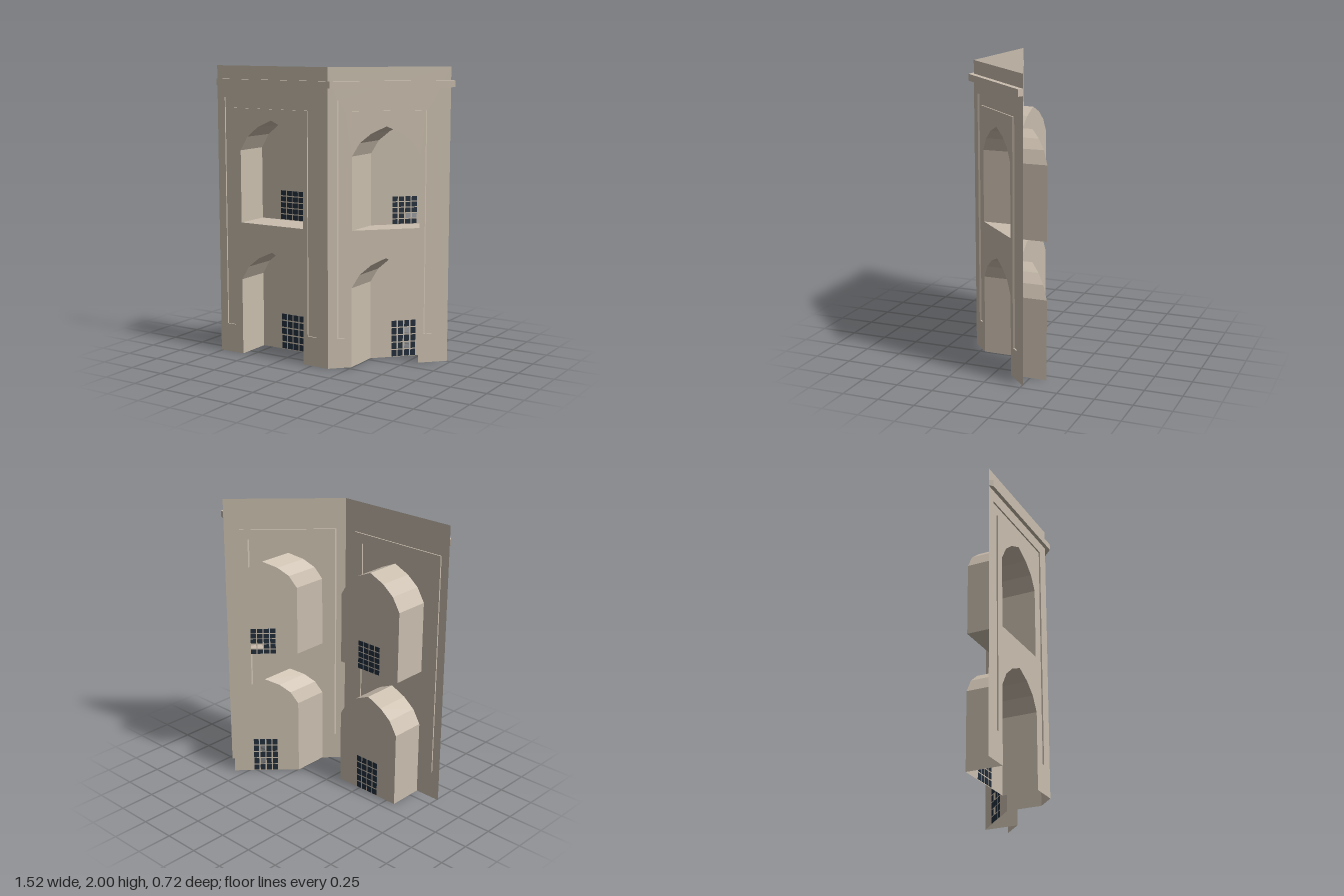
import * as THREE from 'three';

const stone = new THREE.MeshStandardMaterial({ color: 0xc9bdad, side: THREE.DoubleSide });
stone.name = 'sandstone';
const glass = new THREE.MeshStandardMaterial({ color: 0x222e3b });
glass.name = 'darkGlass';

// Each facade is drawn in x, y and then laid onto its own wall plane z = plane(x).
const facades = [
  {
    name: 'frontFacade', plane: () => 0.33, x0: -0.76, x1: 0.13,
    groove: { outer: [-0.7, 0.04], inner: [-0.63, -0.03], depth: 0.01 },
    arch: { cx: -0.317, half: 0.2535, rise: 0.212 },
    niches: [{ floor: 0, spring: 0.531, open: true }, { floor: 0.93, spring: 1.428 }],
    windows: [
      { x: -0.415, w: 0.195, y: 0, h: 0.26, gap: 0.01, missing: [] },
      { x: -0.415, w: 0.195, y: 0.93, h: 0.21, gap: 0.008, missing: [] },
    ],
  },
  {
    name: 'angledFacade', plane: (x) => 0.46 - x, x0: 0.13, x1: 0.72,
    groove: { outer: [0.175, 0.64], inner: [0.21, 0.6], depth: 0.014 },
    arch: { cx: 0.41, half: 0.165, rise: 0.192 },
    niches: [{ floor: 0, spring: 0.543, open: true }, { floor: 0.93, spring: 1.421 }],
    windows: [
      { x: 0.349, w: 0.128, y: 0, h: 0.26, gap: 0.008, missing: ['2,1', '2,3'] },
      { x: 0.349, w: 0.128, y: 0.93, h: 0.195, gap: 0.007, missing: ['2,1', '3,1'] },
    ],
  },
];
const NICHE_DEPTH = 0.25;

const vec = (pts) => pts.map(([x, y]) => new THREE.Vector2(x, y));
const rect = (x, y, w, h) => [[x, y], [x + w, y], [x + w, y + h], [x, y + h]];

// Pointed arch outline, from the lower left corner over the peak to the lower right
function archOutline({ cx, half, rise }, { floor, spring }) {
  const left = [[1, 0], [0.773, 0.45], [0.44, 0.765]];
  const right = left.map(([u, v]) => [-u, v]).reverse();
  const top = [...left, [0, 1], ...right].map(([u, v]) => [cx - u * half, spring + v * rise]);
  return [[cx - half, floor], ...top, [cx + half, floor]];
}

// Inverted U outline of the groove that frames the niches
function grooveOutline({ outer: [a, d], inner: [b, c] }) {
  return [[a, 0.2], [a, 1.785], [d, 1.785], [d, 0.2], [c, 0.2], [c, 1.715], [b, 1.715], [b, 0.2]];
}

function sheet(outline, holes = [], z = 0) {
  const shape = new THREE.Shape(vec(outline));
  holes.forEach((h) => shape.holes.push(new THREE.Path(vec(h))));
  return new THREE.ShapeGeometry(shape).translate(0, 0, z);
}

// Band running along an outline, reaching back from z = 0 by the given depth
function band(outline, depth, closed) {
  const pos = [];
  const n = closed ? outline.length : outline.length - 1;
  for (let i = 0; i < n; i++) {
    const [ax, ay] = outline[i];
    const [bx, by] = outline[(i + 1) % outline.length];
    pos.push(ax, ay, 0, ax, ay, -depth, bx, by, -depth);
    pos.push(ax, ay, 0, bx, by, -depth, bx, by, 0);
  }
  const geo = new THREE.BufferGeometry();
  geo.setAttribute('position', new THREE.Float32BufferAttribute(pos, 3));
  return geo;
}

function buildFacade(f) {
  const group = new THREE.Group();
  group.name = f.name;
  const add = (name, source, material = stone) => {
    const geo = source.index ? source.toNonIndexed() : source;
    const p = geo.attributes.position;
    for (let i = 0; i < p.count; i++) p.setZ(i, p.getZ(i) + f.plane(p.getX(i)));
    geo.computeVertexNormals();
    const mesh = new THREE.Mesh(geo, material);
    mesh.name = name;
    group.add(mesh);
  };

  // Wall with the doorway notch, upper niche opening and groove cut out
  const [lower, upper] = f.niches.map((n) => archOutline(f.arch, n));
  const groove = grooveOutline(f.groove);
  add('wall', sheet([[f.x0, 0], ...lower, [f.x1, 0], [f.x1, 2], [f.x0, 2]], [upper, groove]));

  // Shallow framing groove
  add('grooveBack', sheet(groove, [], -f.groove.depth));
  add('grooveSides', band(groove, f.groove.depth, true));

  // Niches, each with a small paned window in its back wall
  [lower, upper].forEach((outline, i) => {
    const label = i ? 'upper' : 'lower';
    const win = f.windows[i];
    const pw = win.w / 4, ph = win.h / 5, holes = [];
    for (let c = 0; c < 4; c++) {
      for (let r = 0; r < 5; r++) {
        const x = win.x + c * pw + win.gap / 2, y = win.y + r * ph + win.gap / 2;
        const w = pw - win.gap, h = ph - win.gap;
        if (win.missing.includes(`${c},${r}`)) holes.push(rect(x, y, w, h));
        else {
          const pane = new THREE.BoxGeometry(w, h, 0.006);
          add(`${label}WindowPane`, pane.translate(x + w / 2, y + h / 2, -NICHE_DEPTH), glass);
        }
      }
    }
    add(`${label}NicheSides`, band(outline, NICHE_DEPTH, !f.niches[i].open));
    add(`${label}NicheBack`, sheet(outline, holes, -NICHE_DEPTH));
  });
  return group;
}

export function createModel() {
  const model = new THREE.Group();
  model.name = 'facadeCorner';
  facades.forEach((f) => model.add(buildFacade(f)));

  // Cornice ledge following both walls
  const plan = [[-0.765, 0.33], [-0.75, 0.355], [0.16, 0.355], [0.76, -0.245], [0.72, -0.26], [0.13, 0.33]];
  const shape = new THREE.Shape(vec(plan.map(([x, z]) => [x, -z])));
  const ledge = new THREE.ExtrudeGeometry(shape, { depth: 0.045, bevelEnabled: false });
  const cornice = new THREE.Mesh(ledge.rotateX(-Math.PI / 2).translate(0, 1.865, 0), stone);
  cornice.name = 'cornice';
  model.add(cornice);
  return model;
}
